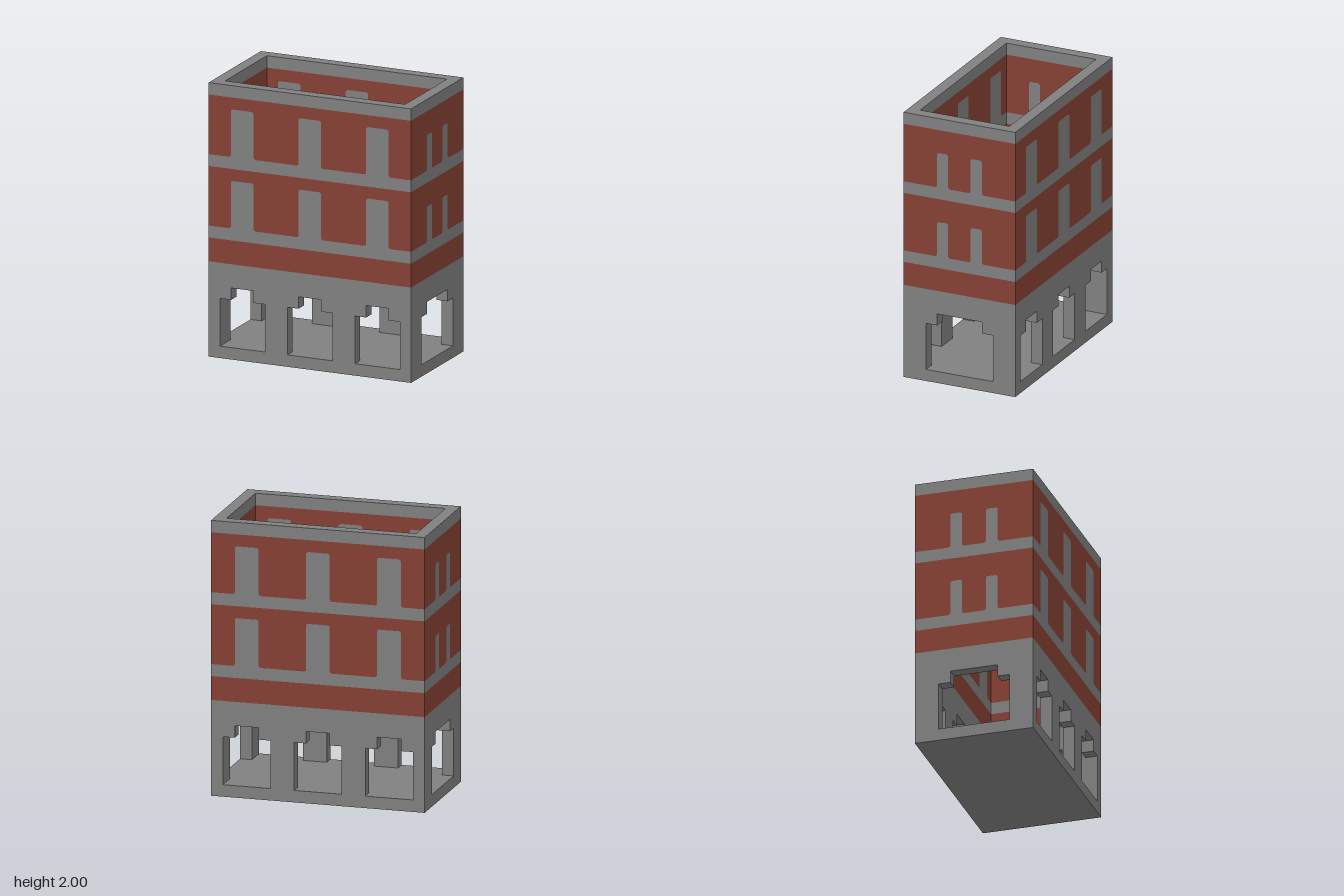
import * as THREE from 'three';

// Everything is laid out on a block grid: 18 wide, 10 deep, 23 high
const UNIT = 2 / 23;
const WALL = 1;

const stone = new THREE.MeshStandardMaterial({ color: 0x808080 });
stone.name = 'grey stone';
const brick = new THREE.MeshStandardMaterial({ color: 0x854034 });
brick.name = 'red brick';

function add(parent, name, geometry, material) {
  const mesh = new THREE.Mesh(geometry, material);
  mesh.name = name;
  parent.add(mesh);
  return mesh;
}

const mirrored = (half) => [...half, ...half.map(([x, y]) => [-x, y]).reverse()];

// Stepped opening: half widths of its lower part and of its raised head
const archProfile = (w, head) => mirrored([[-w, 0], [-w, 4], [-head, 4], [-head, 5]]);

// Painted window with clipped head corners and a slight flare at the sill
function windowProfile(w, h, c = 0.13) {
  return mirrored([[-w - c, 0], [-w, c], [-w, h - c], [-w + c, h]]);
}

const place = (profile, x, y) => profile.map(([px, py]) => new THREE.Vector2(px + x, py + y));

// Flat strip of wall, notched from below by a profile at each centre
function strip(width, y0, y1, profile = [], centres = []) {
  const points = [new THREE.Vector2(-width / 2, y0)];
  for (const x of centres) points.push(...place(profile, x, y0));
  for (const [x, y] of [[width / 2, y0], [width / 2, y1], [-width / 2, y1]]) {
    points.push(new THREE.Vector2(x, y));
  }
  const clean = points.filter((p, i) => i === 0 || !p.equals(points[i - 1]));
  return new THREE.ShapeGeometry(new THREE.Shape(clean));
}

// Inward-facing faces through the wall thickness around an opening
function revealGeometry(profile) {
  const positions = [];
  profile.forEach(([ax, ay], i) => {
    const [bx, by] = profile[(i + 1) % profile.length];
    positions.push(ax, ay, 0, ax, ay, -WALL, bx, by, 0);
    positions.push(ax, ay, -WALL, bx, by, -WALL, bx, by, 0);
  });
  const geometry = new THREE.BufferGeometry();
  geometry.setAttribute('position', new THREE.Float32BufferAttribute(positions, 3));
  geometry.computeVertexNormals();
  return geometry;
}

// One face of a wall, with its bands and windows
function wallFace(name, width, spec) {
  const face = new THREE.Group();
  face.name = name;
  add(face, 'arcade', strip(width, 1, 8, spec.arch, spec.archCentres), stone);
  add(face, 'lowerBrickBand', strip(width, 8, 10), brick);
  for (const sill of [11, 17]) {
    add(face, 'sillBand', strip(width, sill - 1, sill), stone);
    add(face, 'brickStorey', strip(width, sill, sill + 5, spec.window, spec.windowCentres), brick);
    for (const x of spec.windowCentres) {
      const shape = new THREE.Shape(place(spec.window, x, sill));
      add(face, 'window', new THREE.ShapeGeometry(shape), stone);
    }
  }
  add(face, 'parapetBand', strip(width, 22, 23), stone);
  return face;
}

// A full wall: outer face, inner face and opening reveals
function wall(name, spec, angle) {
  const group = new THREE.Group();
  group.name = name;
  const outer = wallFace('outerFace', spec.width, spec);
  add(outer, 'plinth', strip(spec.width, 0, 1), stone);
  outer.position.z = spec.distance;
  const inner = wallFace('innerFace', spec.width - 2 * WALL, spec);
  inner.position.z = spec.distance - WALL;
  inner.rotation.y = Math.PI;
  group.add(outer, inner);
  for (const x of spec.archCentres) {
    add(group, 'openingReveal', revealGeometry(spec.arch), stone).position.set(x, 1, spec.distance);
  }
  group.rotation.y = angle;
  return group;
}

export function createModel() {
  const model = new THREE.Group();
  model.name = 'building';

  const long = {
    width: 18, distance: 5,
    arch: archProfile(2, 1), archCentres: [-6, 0, 6],
    window: windowProfile(1, 4), windowCentres: [-6, 0, 6],
  };
  const short = {
    width: 10, distance: 9,
    arch: archProfile(3, 2), archCentres: [0],
    window: windowProfile(0.5, 3), windowCentres: [-1.5, 1.5],
  };
  model.add(
    wall('frontWall', long, 0),
    wall('leftWall', short, Math.PI / 2),
    wall('backWall', long, Math.PI),
    wall('rightWall', short, -Math.PI / 2),
  );

  // Rim on top of the walls
  const rect = (w, d) => [[-w, -d], [w, -d], [w, d], [-w, d]].map(([x, y]) => new THREE.Vector2(x, y));
  const rimShape = new THREE.Shape(rect(9, 5));
  rimShape.holes.push(new THREE.Path(rect(8, 4)));
  add(model, 'rim', new THREE.ShapeGeometry(rimShape).rotateX(-Math.PI / 2).translate(0, 23, 0), stone);

  // Inside floor and underside
  add(model, 'floor', new THREE.PlaneGeometry(16, 8).rotateX(-Math.PI / 2).translate(0, 1, 0), stone);
  add(model, 'underside', new THREE.PlaneGeometry(18, 10).rotateX(Math.PI / 2), stone);

  model.scale.setScalar(UNIT);
  return model;
}
